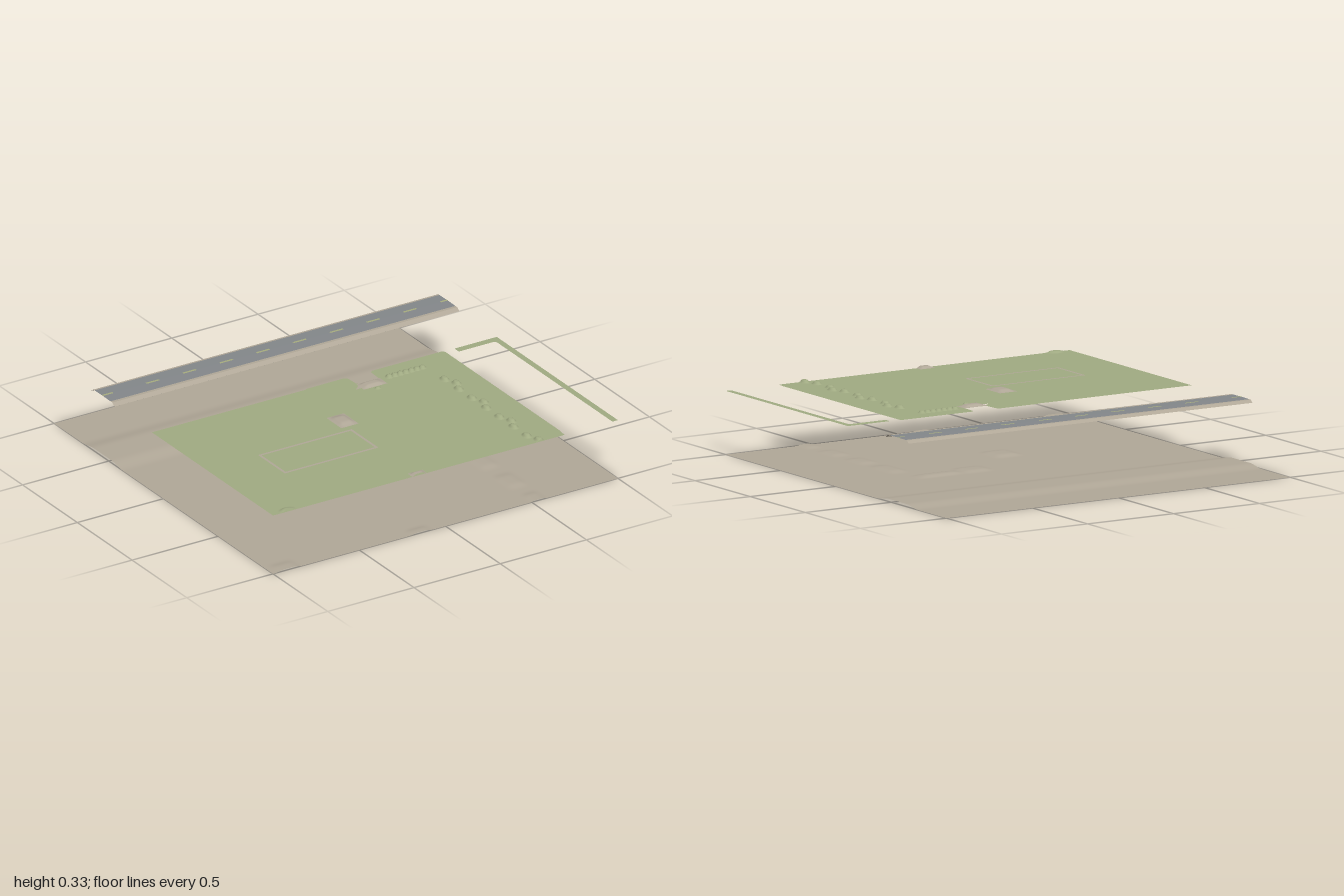
import * as THREE from 'three';

const DECK = 0.317; // height of the upper layer

const paint = (name, color) => {
  const m = new THREE.MeshStandardMaterial({ color, side: THREE.DoubleSide });
  m.name = name;
  return m;
};

// Pillow profile: 0 at the rim, 1 on a plateau, t in -1..1
const pillow = (t) => THREE.MathUtils.smoothstep(1 - Math.abs(t), 0, 0.6);

export function createModel() {
  const model = new THREE.Group();
  const earth = paint('earth', 0xb0a797);
  const grass = paint('grass', 0xa0aa82);
  const asphalt = paint('asphalt', 0x83878a);
  const marking = paint('road marking', 0xa6ab7e);

  const add = (name, geometry, material, parent = model) => {
    const mesh = new THREE.Mesh(geometry, material);
    mesh.name = name;
    parent.add(mesh);
    return mesh;
  };
  const group = (name) => {
    const g = new THREE.Group();
    g.name = name;
    model.add(g);
    return g;
  };

  // Raised things: [x, z, half width, half depth, height]
  const buildings = [
    [-0.143, 0.285, 0.05, 0.068, 0.011],
    [0.2, 0.012, 0.068, 0.035, 0.011],
    [-0.15, 0.99, 0.042, 0.032, 0.01],
  ];
  const knolls = [[-0.91, 0.99, 0.05, 0.035, 0.008], [0.2, 0.068, 0.018, 0.015, 0.008]];
  const trees = [];
  for (let i = 0; i < 4; i++) {
    const z = 0.16 + i * 0.25;
    [[0.528, 0], [0.553, 0.07], [0.528, 0.13]].forEach(([x, dz]) => {
      if (z + dz < 1) trees.push([x, z + dz, 0.024, 0.034, 0.014]);
    });
  }
  const hedge = [];
  for (let i = 0; i < 7; i++) hedge.push([0.315 + i * 0.032, -0.01, 0.021, 0.022, 0.012]);

  // Lower ground: broad embankment under the road plus soft swells
  const swells = [
    [-0.143, 0.285, 0.09, 0.1, 0.009], [0.2, 0.01, 0.1, 0.08, 0.008],
    [-0.14, 1, 0.07, 0.07, 0.007], [-0.91, 1, 0.08, 0.1, 0.008],
    [0.41, -0.01, 0.16, 0.05, 0.008],
    [0.54, 0.24, 0.06, 0.13, 0.007], [0.54, 0.49, 0.06, 0.1, 0.006],
    [0.54, 0.74, 0.06, 0.1, 0.006], [0.54, 0.97, 0.05, 0.08, 0.006],
  ];
  const ground = new THREE.PlaneGeometry(2, 2, 120, 120).rotateX(-Math.PI / 2);
  const gp = ground.attributes.position;
  for (let i = 0; i < gp.count; i++) {
    const x = gp.getX(i), z = gp.getZ(i);
    let y = 0.014 * pillow((z + 0.555) / 0.19);
    for (const [cx, cz, w, d, h] of swells) {
      y = Math.max(y, h * pillow((x - cx) / w) * pillow((z - cz) / d));
    }
    gp.setY(i, y);
  }
  ground.computeVertexNormals();
  add('ground', ground, earth);

  // Flat turf sheets drawn in plan as [x, z]
  const sheet = (points, holes = []) => {
    const plan = (pts) => pts.map(([x, z]) => new THREE.Vector2(x, -z));
    const shape = new THREE.Shape(plan(points));
    holes.forEach((h) => shape.holes.push(new THREE.Path(plan(h))));
    return new THREE.ShapeGeometry(shape).rotateX(-Math.PI / 2);
  };
  const lawn = sheet(
    [
      [-1, 1], [0.69, 1], [0.697, 0.95], [0.697, -0.1], [0.685, -0.113],
      [0.28, -0.113], [0.267, -0.1], [0.263, -0.02], [0.15, -0.02], [0.138, -0.035],
      [0.134, -0.1], [0.12, -0.115], [-0.1, -0.113], [-0.11, -0.107], [-1, -0.107],
    ],
    [[[0.1, 0.024], [0.136, 0.024], [0.136, -0.01]]],
  );
  add('lawn', lawn.translate(0, DECK, 0), grass);
  const verge = sheet([
    [0.755, -0.107], [1, -0.107], [1, 1], [0.968, 1], [0.968, -0.055],
    [0.955, -0.067], [0.755, -0.067],
  ]);
  add('vergeStrip', verge.translate(0, DECK, 0), grass);

  // Pitch outline on the lawn
  const rim = (a) => [[-0.7 + a, 0.39 + a], [-0.157 - a, 0.39 + a], [-0.157 - a, 0.635 - a], [-0.7 + a, 0.635 - a]];
  add('pitchOutline', sheet(rim(0), [rim(0.013)]).translate(0, DECK + 0.002, 0), earth);

  // Soft mounds, cut off at the front edge
  const mound = ([cx, cz, w, d, h], round) => {
    const g = new THREE.PlaneGeometry(2, 2, 12, 12).rotateX(-Math.PI / 2);
    const p = g.attributes.position;
    for (let i = 0; i < p.count; i++) {
      const z = Math.min(cz + p.getZ(i) * d, 1);
      const u = p.getX(i), v = (z - cz) / d;
      const k = round ? pillow(Math.min(1, Math.hypot(u, v))) : pillow(u) * pillow(v);
      p.setXYZ(i, cx + u * w, DECK + 0.0008 + h * k, z);
    }
    g.computeVertexNormals();
    return g;
  };
  const scatter = (name, part, list, material, round) => {
    const g = group(name);
    list.forEach((m) => add(part, mound(m, round), material, g));
  };
  scatter('buildings', 'building', buildings, earth, false);
  scatter('knolls', 'knoll', knolls, grass, true);
  scatter('treeRow', 'tree', trees, grass, true);
  scatter('hedge', 'bush', hedge, grass, true);

  // Road: strips along x from a [z, y] cross-section
  const road = group('road');
  const strip = (name, profile, material, x = 0, length = 2) => {
    const n = profile.length - 1;
    let g = new THREE.PlaneGeometry(length, 1, 1, n).rotateX(-Math.PI / 2);
    const p = g.attributes.position;
    for (let i = 0; i < p.count; i++) {
      const [z, y] = profile[Math.floor(i / 2)];
      p.setXYZ(i, x + p.getX(i), y, z);
    }
    g = g.toNonIndexed();
    g.computeVertexNormals();
    add(name, g, material, road);
  };
  strip('backShoulder', [[-0.658, DECK], [-0.643, 0.33], [-0.63, 0.331]], earth);
  strip('carriageway', [[-0.63, 0.331], [-0.558, 0.332], [-0.485, 0.331]], asphalt);
  strip('frontShoulder', [[-0.485, 0.331], [-0.468, 0.331], [-0.448, DECK]], earth);
  strip('dash', [[-0.565, 0.333], [-0.552, 0.333]], marking, -0.97, 0.06);
  strip('dash', [[-0.565, 0.333], [-0.552, 0.333]], marking, 0.98, 0.04);
  for (let i = 0; i < 8; i++) {
    strip('dash', [[-0.565, 0.333], [-0.552, 0.333]], marking, -0.708 + i * 0.213, 0.076);
  }
  return model;
}
